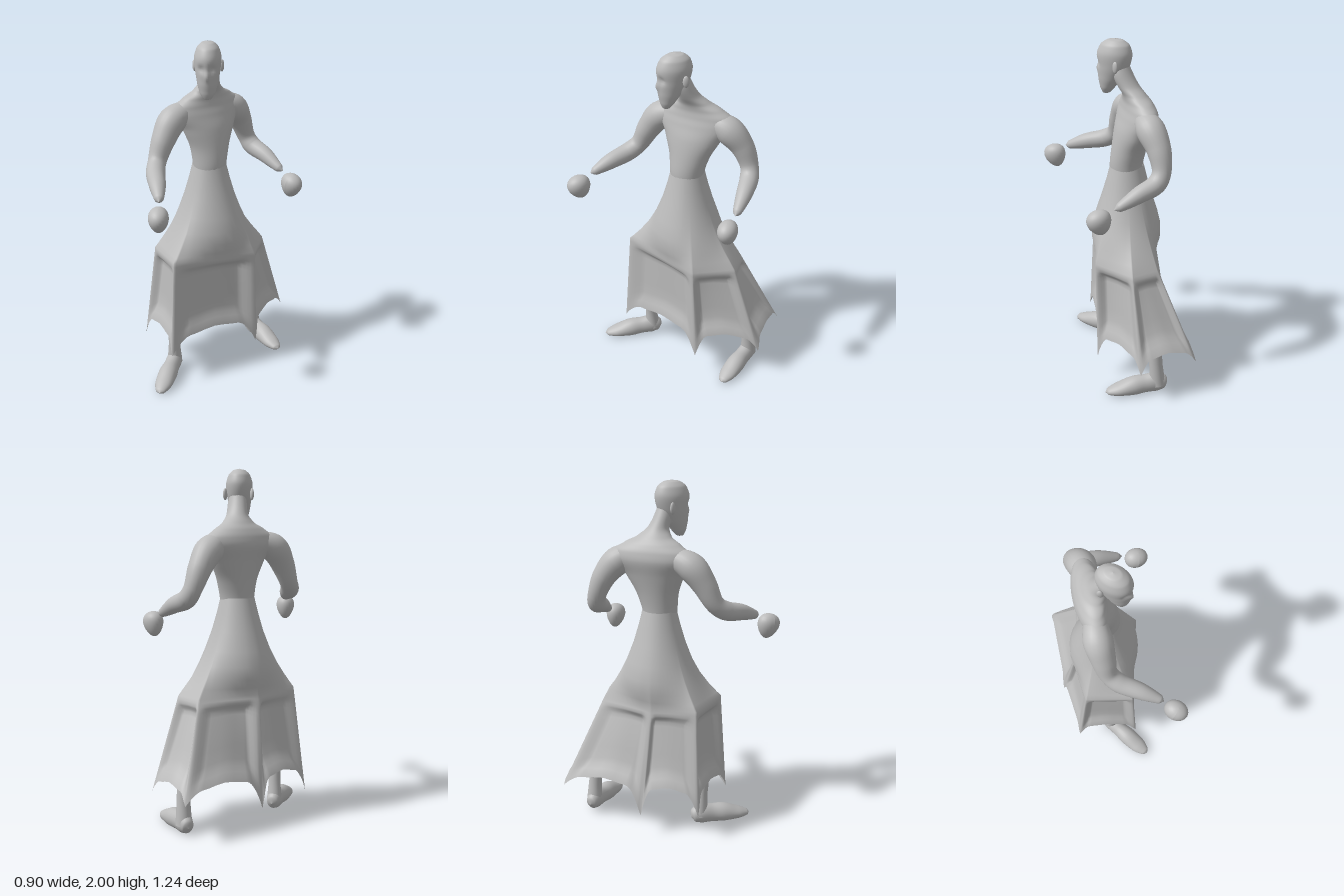
import * as THREE from 'three';

const grey = new THREE.MeshStandardMaterial({ color: 0xbcbcbc });
grey.name = 'clay grey';
grey.side = THREE.DoubleSide;

const ACROSS = new THREE.Vector3(0.6, 0, -0.8); // shoulder line, towards the figure's left
const SIDE = new THREE.Vector3(1, 0, 0);
const UP = new THREE.Vector3(0, 1, 0);
const step = THREE.MathUtils.smoothstep;

function mesh(name, geometry) {
  const m = new THREE.Mesh(geometry, grey);
  m.name = name;
  return m;
}

// Grid of rows x columns, closed around, as a smooth surface
function gridGeometry(positions, rows, cols) {
  const index = [];
  for (let i = 0; i < rows - 1; i++) {
    for (let j = 0; j < cols; j++) {
      const k = (j + 1) % cols;
      const a = i * cols + j, b = i * cols + k, c = a + cols, d = b + cols;
      index.push(a, b, c, b, d, c);
    }
  }
  const g = new THREE.BufferGeometry();
  g.setAttribute('position', new THREE.Float32BufferAttribute(positions, 3));
  g.setIndex(index);
  g.computeVertexNormals();
  return g;
}

// Smooth body through rings [x, y, z, radius along ref, other radius];
// rings turn with the path unless a fixed axis is given
function loft(rings, { ref = ACROSS, axis = null, sides = 24, rule = null } = {}) {
  const path = new THREE.CatmullRomCurve3(rings.map(r => new THREE.Vector3(r[0], r[1], r[2])));
  const size = new THREE.CatmullRomCurve3(rings.map(r => new THREE.Vector3(r[3], r[4] ?? r[3], 0)),
    false, 'catmullrom', 0.4);
  const rows = (rings.length - 1) * 6 + 1, positions = [];
  for (let i = 0; i < rows; i++) {
    const s = i / (rows - 1), c = path.getPoint(s), r = size.getPoint(s);
    const t = axis ?? path.getTangent(s);
    const n1 = ref.clone().addScaledVector(t, -ref.dot(t)).normalize();
    const n2 = t.clone().cross(n1);
    for (let j = 0; j < sides; j++) {
      const a = (j / sides) * Math.PI * 2;
      const p = c.clone()
        .addScaledVector(n1, Math.max(r.x, 0.0005) * Math.cos(a))
        .addScaledVector(n2, Math.max(r.y, 0.0005) * Math.sin(a));
      if (rule) rule(p);
      positions.push(p.x, p.y, p.z);
    }
  }
  return gridGeometry(positions, rows, sides);
}

// Egg-shaped hand, narrower at the bottom
function hand(name, x, y, z, turn) {
  const g = new THREE.SphereGeometry(1, 24, 18);
  const p = g.attributes.position;
  for (let i = 0; i < p.count; i++) {
    const k = 1 + 0.25 * p.getY(i);
    p.setXYZ(i, p.getX(i) * k * 0.053, p.getY(i) * 0.072, p.getZ(i) * k * 0.066);
  }
  g.computeVertexNormals();
  const m = mesh(name, g);
  m.position.set(x, y, z);
  m.rotation.set(0.25, turn, 0, 'YXZ');
  return m;
}

// Skirt: round at the waist, six-cornered at the hips, recessed panels and pointed hem below
function skirtGeometry() {
  const V = (x, y, z) => new THREE.Vector3(x, y, z);
  const top = [V(0.05, 0.75, -0.36), V(0.2, 0.75, -0.29), V(0.21, 0.76, -0.04),
    V(-0.19, 0.78, 0.27), V(-0.37, 0.77, 0.06), V(-0.23, 0.76, -0.16)];
  const tips = [V(0.03, 0.23, -0.62), V(0.31, 0.21, -0.43), V(0.22, 0.15, -0.06),
    V(-0.2, 0.19, 0.31), V(-0.45, 0.16, 0.05), V(-0.28, 0.13, -0.24)];
  const upper = [[1.29, 0.095, 0], [1.2, 0.117, 0], [1.1, 0.146, 0], [1.0, 0.185, 0.08],
    [0.92, 0.222, 0.25], [0.85, 0.26, 0.55], [0.8, 0.285, 0.85]];
  const lower = [0, 0.04, 0.08, 0.11, 0.14, 0.18, 0.23, 0.4, 0.6, 0.75, 0.83, 0.89, 0.95, 1];
  const half = [0.025, 0.05, 0.08, 0.11, 0.14, 0.17, 0.21, 0.28, 0.38];
  const ts = [0, ...half, 0.5, ...half.map(t => 1 - t).reverse()];
  const positions = [], cols = ts.length * 6;
  const around = fn => {
    for (let i = 0; i < 6; i++) {
      for (const t of ts) {
        const j = (i + 1) % 6;
        const p = fn(top[i].clone().lerp(top[j], t), tips[i].clone().lerp(tips[j], t), t);
        positions.push(p.x, p.y, p.z);
      }
    }
  };
  for (const [y, r, mix] of upper) {
    around(p => {
      const a = Math.atan2(p.z + 0.06, p.x + 0.07);
      const q = V(-0.07 + r * Math.cos(a), y, -0.06 + r * Math.sin(a));
      const k = (1.29 - y) / (1.29 - p.y);
      const flat = V(-0.07 + (p.x + 0.07) * k, y, -0.06 + (p.z + 0.06) * k);
      return q.lerp(flat, mix);
    });
  }
  for (const v of lower) {
    around((p, tip, t) => {
      const m = Math.min(t, 1 - t);
      const w = step(m, 0.02, 0.15);
      const scallop = 1 - (1 - Math.min(m / 0.22, 1)) ** 2;
      const hemY = THREE.MathUtils.lerp(tip.y, 0.3 + 0.02 * step(m, 0.2, 0.5), scallop);
      const q = p.clone().lerp(tip, v);
      q.y = THREE.MathUtils.lerp(p.y, hemY, v);
      const inset = 0.042 * w * step(v, 0.06, 0.19) * (1 - 0.75 * step(v, 0.75, 1));
      const inward = V(-0.06 - q.x, 0, -0.12 - q.z).normalize();
      return q.addScaledVector(inward, inset);
    });
  }
  return gridGeometry(positions, upper.length + lower.length, cols);
}

function createHead() {
  const head = new THREE.Group();
  head.name = 'head';
  // Eye sockets pressed in and a slim nose drawn out of the front of the skull
  const face = p => {
    if (p.z < 0.03) return;
    const socket = Math.exp(-(((Math.abs(p.x) - 0.03) / 0.018) ** 2) - ((p.y - 1.865) / 0.02) ** 2);
    const nose = Math.exp(-((p.x / 0.012) ** 2) - ((p.y - 1.825) / 0.025) ** 2);
    p.z += 0.012 * nose - 0.014 * socket;
  };
  head.add(mesh('skull', loft([
    [0, 1.69, 0.05, 0.001], [0, 1.696, 0.05, 0.022, 0.02], [0, 1.73, 0.042, 0.043, 0.043],
    [0, 1.785, 0.026, 0.058, 0.069], [0, 1.85, 0.008, 0.069, 0.091], [0, 1.915, 0.002, 0.074, 0.1],
    [0, 1.965, -0.001, 0.06, 0.083], [0, 1.992, -0.003, 0.034, 0.047], [0, 2.0, -0.004, 0.001]],
  { ref: SIDE, axis: UP, sides: 48, rule: face })));
  for (const s of [-1, 1]) {
    const ear = mesh(s > 0 ? 'leftEar' : 'rightEar', new THREE.SphereGeometry(1, 16, 12));
    ear.scale.set(0.011, 0.033, 0.018);
    ear.position.set(s * 0.075, 1.86, -0.035);
    ear.rotation.y = -s * 0.35;
    head.add(ear);
  }
  head.position.set(-0.055, 0, 0.015);
  head.rotation.y = 0.2;
  return head;
}

export function createModel() {
  const model = new THREE.Group();
  model.name = 'robedFigure';
  model.add(createHead());

  // Torso, sloping shoulders and neck in one body
  model.add(mesh('torso', loft([
    [-0.067, 1.18, -0.058, 0.085, 0.08], [-0.066, 1.28, -0.056, 0.098, 0.092],
    [-0.07, 1.38, -0.07, 0.118, 0.095], [-0.082, 1.5, -0.092, 0.17, 0.097],
    [-0.098, 1.58, -0.108, 0.22, 0.094], [-0.1, 1.63, -0.112, 0.215, 0.083],
    [-0.096, 1.67, -0.106, 0.16, 0.072], [-0.085, 1.705, -0.092, 0.098, 0.063],
    [-0.07, 1.75, -0.065, 0.06, 0.06], [-0.06, 1.81, -0.035, 0.05, 0.058],
    [-0.057, 1.87, -0.02, 0.04, 0.045]], { axis: UP, sides: 40 })));

  model.add(mesh('skirt', skirtGeometry()));

  // Arms, shoulder to wrist
  model.add(mesh('rightArm', loft([
    [-0.15, 1.6, -0.05, 0.02], [-0.19, 1.595, 0.0, 0.06], [-0.245, 1.558, 0.068, 0.079],
    [-0.278, 1.47, 0.128, 0.068], [-0.3, 1.36, 0.185, 0.052], [-0.29, 1.315, 0.25, 0.053],
    [-0.245, 1.285, 0.36, 0.046], [-0.205, 1.25, 0.46, 0.025], [-0.198, 1.243, 0.485, 0.001]])));
  model.add(mesh('leftArm', loft([
    [-0.04, 1.6, -0.17, 0.02], [-0.015, 1.595, -0.21, 0.06], [0.02, 1.558, -0.275, 0.079],
    [0.045, 1.47, -0.345, 0.066], [0.073, 1.36, -0.382, 0.052], [0.11, 1.305, -0.375, 0.053],
    [0.2, 1.265, -0.33, 0.046], [0.3, 1.21, -0.268, 0.025], [0.325, 1.2, -0.252, 0.001]])));
  model.add(hand('rightHand', -0.18, 1.168, 0.553, 0.25));
  model.add(hand('leftHand', 0.385, 1.135, -0.2, 0.95));

  // Legs, hip to ankle
  model.add(mesh('rightLeg', loft([
    [-0.13, 0.9, 0.0, 0.02], [-0.14, 0.85, 0.01, 0.065], [-0.18, 0.55, 0.095, 0.05],
    [-0.23, 0.33, 0.152, 0.037], [-0.237, 0.18, 0.145, 0.035], [-0.24, 0.05, 0.135, 0.045]])));
  model.add(mesh('leftLeg', loft([
    [0.0, 0.9, -0.16, 0.02], [0.01, 0.85, -0.17, 0.065], [0.075, 0.55, -0.275, 0.05],
    [0.12, 0.33, -0.39, 0.04], [0.125, 0.18, -0.41, 0.039], [0.12, 0.05, -0.42, 0.047]])));

  // Feet: the same shape, each turned its own way, with a flat sole
  const sole = p => { p.y = Math.max(p.y, 0.005); };
  for (const [name, x, z, turn] of [['rightFoot', -0.24, 0.08, 0], ['leftFoot', 0.075, -0.458, 0.8]]) {
    const foot = mesh(name, loft([
      [0, 0.045, 0, 0.001], [0, 0.05, 0.015, 0.04, 0.033], [0, 0.06, 0.06, 0.06, 0.045],
      [0, 0.055, 0.13, 0.055, 0.047], [0, 0.048, 0.2, 0.056, 0.055], [0, 0.033, 0.29, 0.036, 0.05],
      [0, 0.024, 0.35, 0.018, 0.028], [0, 0.022, 0.368, 0.001]], { ref: UP, rule: sole }));
    foot.position.set(x, 0, z);
    foot.rotation.y = turn;
    model.add(foot);
  }
  return model;
}
